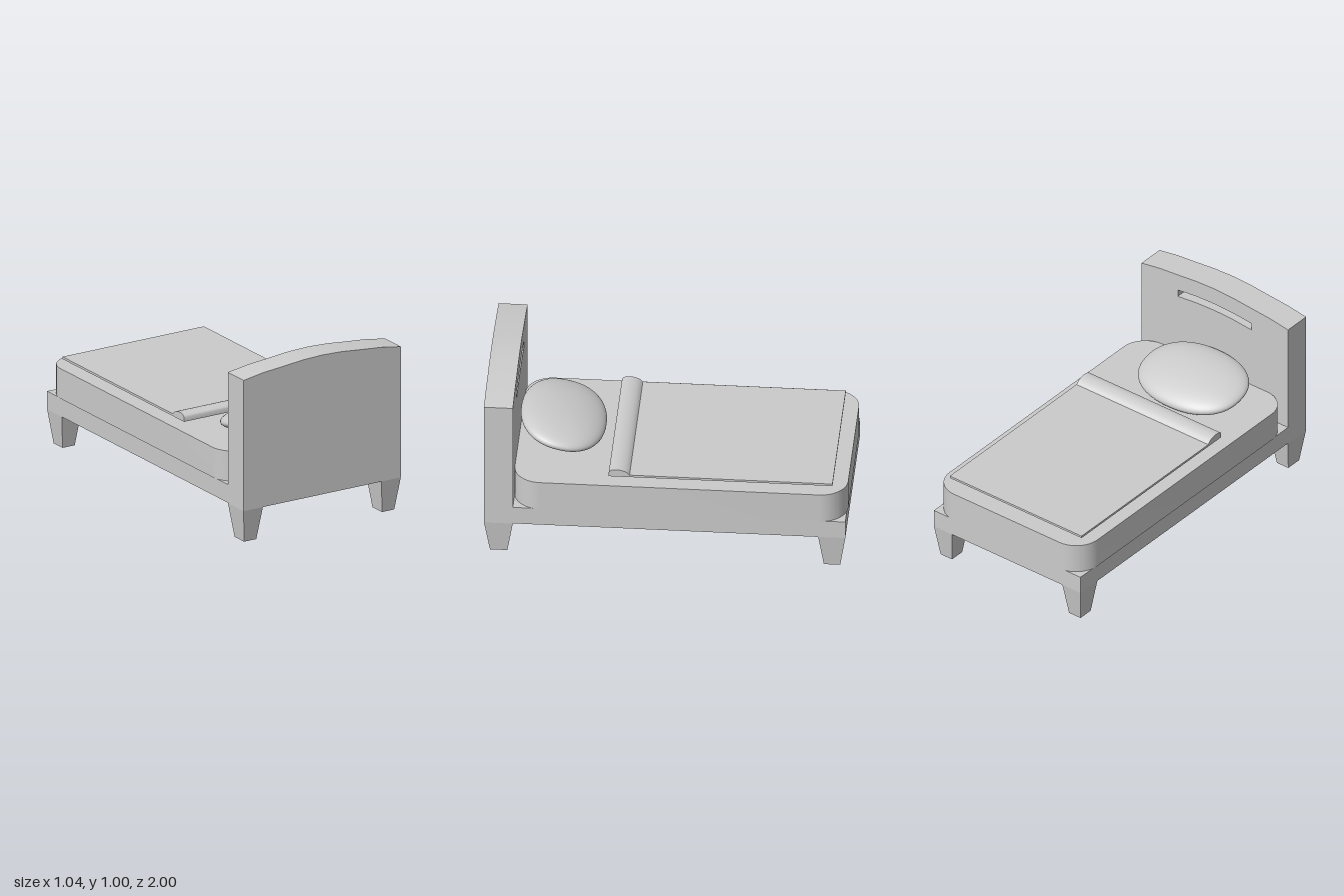
import * as THREE from 'three';
import { toCreasedNormals } from 'three/addons/utils/BufferGeometryUtils.js';

const material = new THREE.MeshStandardMaterial({ color: 0xcccccc });

function part(name, geometry) {
  const mesh = new THREE.Mesh(geometry, material);
  mesh.name = name;
  return mesh;
}

function extrude(shape, depth) {
  const g = new THREE.ExtrudeGeometry(shape, { depth, bevelEnabled: false, curveSegments: 12 });
  return toCreasedNormals(g, 0.5);
}

// Gentle faceted crown shared by the headboard top and its slot
const CROWN = [[0, 0], [0.13, 0.005], [0.26, 0.018], [0.385, 0.029], [0.515, 0.05]];

function crownLine(y, limit) {
  const right = CROWN.filter(([x]) => x <= limit).map(([x, drop]) => new THREE.Vector2(x, y - drop));
  const left = right.slice(1).reverse().map((p) => new THREE.Vector2(-p.x, p.y));
  return [...left, ...right];
}

function headboardShape() {
  return new THREE.Shape([
    new THREE.Vector2(0.515, 0.192), ...crownLine(1.005, 0.52).reverse(), new THREE.Vector2(-0.515, 0.192),
  ]);
}

// Headboard: solid front layer, slotted layer behind it
function createHeadboard() {
  const group = new THREE.Group();
  group.name = 'headboard';
  const face = part('headboardFace', extrude(headboardShape(), 0.105));
  face.position.z = 0.895;
  const slotted = headboardShape();
  slotted.holes.push(new THREE.Path([...crownLine(0.861, 0.27), ...crownLine(0.904, 0.27).reverse()]));
  const back = part('headboardSlottedBack', extrude(slotted, 0.055));
  back.position.z = 0.84;
  group.add(face, back);
  return group;
}

// Leg: a box narrowed toward the floor
function createLeg(name, x, z, width, depth) {
  const g = new THREE.BoxGeometry(width, 0.195, depth).toNonIndexed();
  const p = g.attributes.position;
  for (let i = 0; i < p.count; i++) {
    if (p.getY(i) < 0) p.setXYZ(i, p.getX(i) * 0.63, p.getY(i), p.getZ(i) * 0.6);
  }
  g.computeVertexNormals();
  const leg = part(name, g);
  leg.position.set(x, 0.0975, z);
  return leg;
}

// Mattress: rounded rectangle lifted upward
function createMattress() {
  const w = 0.52, h = 0.92, r = 0.15;
  const s = new THREE.Shape();
  s.absarc(w - r, h - r, r, 0, Math.PI / 2);
  s.absarc(-w + r, h - r, r, Math.PI / 2, Math.PI);
  s.absarc(-w + r, -h + r, r, Math.PI, Math.PI * 1.5);
  s.absarc(w - r, -h + r, r, Math.PI * 1.5, Math.PI * 2);
  const mattress = part('mattress', extrude(s, 0.175).rotateX(-Math.PI / 2));
  mattress.position.set(0, 0.3, -0.08);
  return mattress;
}

// Side profile (z, y) swept across the bed
function sweepAcross(name, shape, halfWidth) {
  const mesh = part(name, extrude(shape, halfWidth * 2).rotateY(-Math.PI / 2));
  mesh.position.x = halfWidth;
  return mesh;
}

function createBlanket() {
  const group = new THREE.Group();
  group.name = 'blanket';
  const sheet = new THREE.Shape();
  sheet.moveTo(-0.92, 0.5).lineTo(0.2, 0.5).lineTo(0.2, 0.513).lineTo(-0.92, 0.513);
  const fold = new THREE.Shape();
  fold.moveTo(0.2, 0.5).lineTo(0.315, 0.5).lineTo(0.315, 0.525);
  fold.bezierCurveTo(0.31, 0.552, 0.225, 0.552, 0.2, 0.513);
  group.add(sweepAcross('blanketSheet', sheet, 0.463), sweepAcross('blanketFold', fold, 0.463));
  return group;
}

// Pillow: flattened sphere, slightly squared in plan, leaning on the headboard
function createPillow() {
  const g = new THREE.SphereGeometry(1, 48, 32);
  const p = g.attributes.position;
  for (let i = 0; i < p.count; i++) {
    const x = p.getX(i), z = p.getZ(i), flat = Math.hypot(x, z);
    const e = 2.25;
    const k = flat > 1e-6 ? flat / Math.pow(Math.abs(x) ** e + Math.abs(z) ** e, 1 / e) : 1;
    p.setXYZ(i, x * k * 0.33, p.getY(i) * 0.073, z * k * 0.24);
  }
  const q = g.attributes.normal;
  g.computeVertexNormals();
  // Keep the shading continuous across the sphere seam
  for (let row = 0; row <= 32; row++) {
    const a = row * 49, b = a + 48;
    const n = new THREE.Vector3().fromBufferAttribute(q, a)
      .add(new THREE.Vector3().fromBufferAttribute(q, b)).normalize();
    q.setXYZ(a, n.x, n.y, n.z);
    q.setXYZ(b, n.x, n.y, n.z);
  }
  const pillow = part('pillow', g);
  pillow.position.set(-0.04, 0.553, 0.602);
  pillow.rotation.x = -0.217;
  return pillow;
}

export function createModel() {
  const model = new THREE.Group();
  model.name = 'bed';

  const frame = part('bedFrame', new THREE.BoxGeometry(1.03, 0.106, 1.835));
  frame.position.set(0, 0.247, -0.0775);
  model.add(frame, createHeadboard(), createMattress(), createBlanket(), createPillow());

  for (const [side, sign] of [['Left', 1], ['Right', -1]]) {
    model.add(createLeg('headLeg' + side, sign * 0.4515, 0.92, 0.127, 0.16));
    model.add(createLeg('footLeg' + side, sign * 0.4515, -0.92, 0.127, 0.15));
  }
  return model;
}
